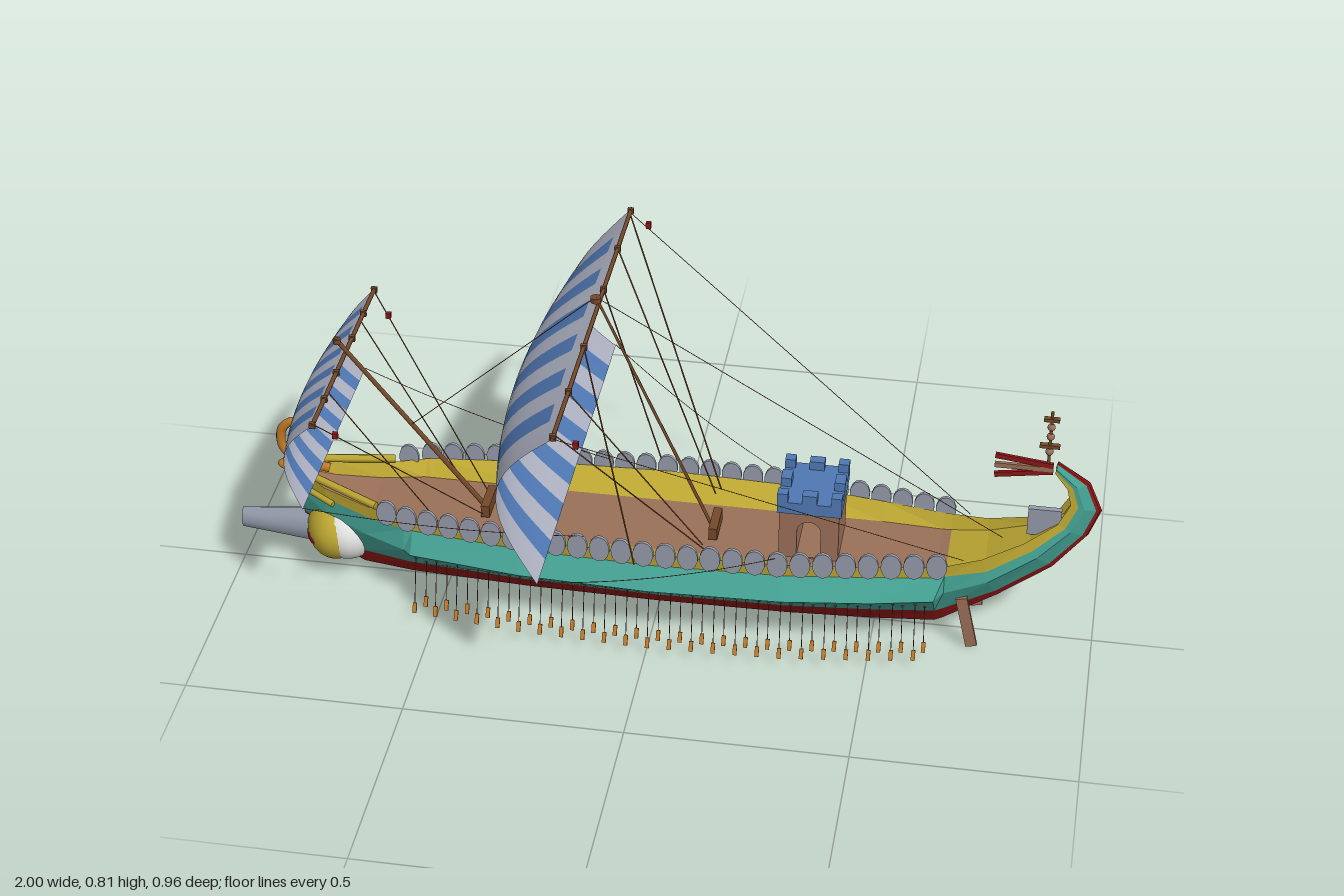
import * as THREE from 'three';

const mat = (name, color, side = THREE.FrontSide) => {
  const m = new THREE.MeshStandardMaterial({ color, side });
  m.name = name;
  return m;
};
const V = (x, y, z) => new THREE.Vector3(x, y, z);

export function createModel() {
  const D = THREE.DoubleSide;
  const red = mat('keelRed', 0x8c1616, D), teal = mat('hullTeal', 0x45a294, D);
  const yellow = mat('railYellow', 0xbca632, D), deckBrown = mat('deckBrown', 0x9a7058, D);
  const wood = mat('darkWood', 0x74492a), gray = mat('shieldGray', 0x959baa);
  const cloth = mat('sailGray', 0xaeb2c2, D), blue = mat('stripeBlue', 0x5078b4, D);
  const white = mat('white', 0xf2f2f0), orange = mat('bladeOrange', 0xc07a28);

  const model = new THREE.Group();
  model.name = 'galley';
  const ship = new THREE.Group(), rig = new THREE.Group();
  ship.name = 'hull';
  rig.name = 'rigging';
  ship.position.z = -0.012;
  model.add(ship, rig);

  const add = (parent, name, geo, m, x = 0, y = 0, z = 0) => {
    const mesh = new THREE.Mesh(geo, m);
    mesh.name = name;
    mesh.position.set(x, y, z);
    parent.add(mesh);
    return mesh;
  };
  const box = (parent, name, m, w, h, d, x, y, z) => add(parent, name, new THREE.BoxGeometry(w, h, d), m, x, y, z);
  const rod = (parent, name, m, a, b, r, r2 = r, sides = 6) => {
    const dir = b.clone().sub(a);
    const mesh = add(parent, name, new THREE.CylinderGeometry(r2, r, dir.length(), sides), m);
    mesh.position.copy(a).addScaledVector(dir, 0.5);
    mesh.quaternion.setFromUnitVectors(V(0, 1, 0), dir.normalize());
    return mesh;
  };
  // flat-faced skin through rows of points
  const skin = (name, m, rows) => {
    const p = [];
    for (let i = 0; i < rows.length - 1; i++) for (let j = 0; j < rows[i].length - 1; j++) {
      const a = rows[i][j], b = rows[i + 1][j], c = rows[i + 1][j + 1], d = rows[i][j + 1];
      for (const q of [a, b, c, a, c, d]) p.push(q.x, q.y, q.z);
    }
    const g = new THREE.BufferGeometry();
    g.setAttribute('position', new THREE.Float32BufferAttribute(p, 3));
    g.computeVertexNormals();
    return add(ship, name, g, m);
  };

  // hull stations: keel x, keel y, rail x, rail y, half width, outrigger overhang
  const stations = [
    [-0.84, 0.10, -0.86, 0.28, 0.018, 0], [-0.78, 0.06, -0.78, 0.25, 0.055, 0],
    [-0.70, 0.03, -0.67, 0.235, 0.09, 0], [-0.58, 0.026, -0.58, 0.235, 0.122, 0.012],
    [-0.56, 0.026, -0.56, 0.235, 0.125, 0.028], [-0.3, 0.026, -0.3, 0.235, 0.155, 0.032],
    [0, 0.026, 0, 0.235, 0.166, 0.032], [0.3, 0.026, 0.3, 0.235, 0.155, 0.032],
    [0.5, 0.026, 0.5, 0.235, 0.128, 0.032], [0.64, 0.03, 0.64, 0.235, 0.106, 0.026],
    [0.66, 0.04, 0.66, 0.237, 0.102, 0], [0.78, 0.11, 0.74, 0.25, 0.08, 0],
    [0.90, 0.20, 0.83, 0.285, 0.052, 0], [0.97, 0.29, 0.90, 0.33, 0.03, 0],
    [0.995, 0.36, 0.925, 0.38, 0.022, 0], [0.965, 0.43, 0.915, 0.42, 0.018, 0],
    [0.89, 0.48, 0.885, 0.455, 0.012, 0],
  ];
  const section = ([kx, ky, sx, sy, w, b]) => {
    const pt = (z, t) => V(kx + (sx - kx) * t, ky + (sy - ky) * t, z);
    // the red narrows to a strip and the yellow deepens towards the stern
    const stern = THREE.MathUtils.clamp((kx - 0.66) / 0.12, 0, 1);
    return [pt(0, 0), pt((0.45 - 0.1 * stern) * w, 0.06), pt((0.68 - 0.2 * stern) * w, 0.28 - 0.1 * stern),
      pt(w + b, 0.62 - 0.06 * stern), pt(w * 0.98, 0.85 - 0.1 * stern), pt(w, 1), pt(Math.min(0.095, w * 0.82), 0.84)];
  };
  const half = stations.map(section);
  const flip = rows => rows.map(r => r.map(p => V(p.x, p.y, -p.z)));
  const bands = [['bottom', red, 0, 3], ['side', teal, 2, 5], ['bulwark', yellow, 4, 7]];
  for (const [name, m, i, j] of bands) {
    const rows = half.map(r => r.slice(i, j));
    skin(name + 'Left', m, rows);
    skin(name + 'Right', m, flip(rows));
  }
  const across = half.map(r => [r[6], V(r[6].x, r[6].y, -r[6].z)]);
  skin('deck', deckBrown, across.slice(0, 11));
  skin('sternDeck', yellow, across.slice(10));
  const widthAt = x => {
    const i = Math.max(1, stations.findIndex(s => s[2] > x));
    const a = stations[i - 1], b = stations[i];
    return a[4] + (b[4] - a[4]) * (x - a[2]) / (b[2] - a[2]);
  };

  // shields, oars and steering oars on both sides
  const disc = new THREE.CylinderGeometry(0.0235, 0.0235, 0.008, 14).rotateX(Math.PI / 2).scale(1, 1.42, 1);
  const port = new THREE.SphereGeometry(0.004, 6, 4);
  for (const s of [1, -1]) {
    for (let i = 0; i < 26; i++) {
      const x = -0.62 + i * 0.0505;
      add(ship, 'shield', disc, gray, x, 0.242, s * (widthAt(x) + 0.007));
    }
    for (let i = 0; i < 24; i++) for (let k = 0; k < 2; k++) {
      const x = -0.55 + i * 0.05 + k * 0.02, w = widthAt(x);
      const a = V(x, 0.14 - k * 0.02, s * (w + 0.012 - k * 0.02));
      const b = V(x + 0.005, 0.036, s * (w + 0.066 - k * 0.03));
      rod(ship, 'oar', wood, a, b, 0.0009, 0.0009, 4);
      add(ship, 'oarPort', port, wood, a.x, a.y, a.z);
      const blade = box(ship, 'oarBlade', orange, 0.009, 0.024, 0.005, b.x, b.y, b.z);
      blade.rotation.x = -s * 0.45;
    }
    const rudder = box(ship, 'steeringOar', deckBrown, 0.026, 0.135, 0.01, 0.715, 0.07, s * 0.078);
    rudder.rotation.z = 0.22;
  }

  // bow: ram, painted prow and curled stem
  const ram = new THREE.CylinderGeometry(0.027, 0.05, 0.2, 8).rotateZ(Math.PI / 2).scale(1, 1, 0.65);
  add(ship, 'ram', ram, gray, -0.9, 0.105, 0);
  const ball = (name, m, rx, ry, rz, x, y) =>
    add(ship, name, new THREE.SphereGeometry(1, 24, 16).scale(rx, ry, rz), m, x, y, 0);
  ball('prowBand', white, 0.075, 0.083, 0.092, -0.742, 0.118);
  ball('prow', yellow, 0.072, 0.08, 0.096, -0.768, 0.115);
  ball('prowEye', red, 0.038, 0.032, 0.08, -0.802, 0.108);
  ball('stemBase', orange, 0.045, 0.014, 0.024, -0.86, 0.272);
  const curl = new THREE.CatmullRomCurve3([V(-0.78, 0.27, 0), V(-0.85, 0.285, 0), V(-0.89, 0.32, 0),
    V(-0.888, 0.37, 0), V(-0.86, 0.392, 0), V(-0.835, 0.375, 0), V(-0.845, 0.352, 0)]);
  add(ship, 'stemCurl', new THREE.TubeGeometry(curl, 30, 0.011, 8), orange);
  for (const s of [1, -1]) {
    rod(ship, 'bowRail', yellow, V(-0.86, 0.275, s * 0.02), V(-0.65, 0.245, s * 0.096), 0.01);
    rod(ship, 'bowWale', yellow, V(-0.87, 0.235, s * 0.012), V(-0.76, 0.215, s * 0.066), 0.008);
  }

  // deck tower with arched passage and battlements
  const wall = new THREE.Shape();
  wall.moveTo(-0.068, 0).lineTo(0.068, 0).lineTo(0.068, 0.13).lineTo(-0.068, 0.13).closePath();
  const arch = new THREE.Path();
  arch.moveTo(-0.027, 0.005).lineTo(0.027, 0.005).lineTo(0.027, 0.075).absarc(0, 0.075, 0.027, 0, Math.PI, false).closePath();
  wall.holes.push(arch);
  const wallGeo = new THREE.ExtrudeGeometry(wall, { depth: 0.15, bevelEnabled: false, curveSegments: 10 });
  add(ship, 'tower', wallGeo, deckBrown, 0.348, 0.2, -0.075);
  box(ship, 'towerTop', blue, 0.146, 0.03, 0.16, 0.348, 0.34, 0);
  for (let i = -1; i <= 1; i++) for (let k = -1; k <= 1; k++) {
    if (i || k) box(ship, 'merlon', blue, i ? 0.024 : 0.034, 0.024, k ? 0.024 : 0.036, 0.348 + i * 0.061, 0.365, k * 0.068);
  }

  // stern ornament, seat and standard
  box(ship, 'sternSeat', gray, 0.075, 0.07, 0.014, 0.87, 0.315, 0);
  for (const [y, a, m] of [[0.475, -0.12, red], [0.458, 0, deckBrown], [0.442, 0.16, red]]) {
    const plume = box(ship, 'sternPlume', m, 0.13, 0.012, 0.008, 0.815, y, 0);
    plume.rotation.z = a;
  }
  rod(ship, 'standard', wood, V(0.868, 0.45, 0), V(0.868, 0.61, 0), 0.004);
  for (const y of [0.505, 0.545, 0.57]) ball('standardKnob', deckBrown, 0.009, 0.009, 0.009, 0.868, y);
  box(ship, 'standardBar', wood, 0.045, 0.008, 0.012, 0.868, 0.52, 0);
  box(ship, 'standardBar', wood, 0.035, 0.008, 0.012, 0.868, 0.59, 0);

  // billowing striped sail with its yard
  const sail = (name, xt, xb, yt, yb, hw, belly) => {
    const cols = [-1], rows = 18, pos = [], grayI = [], blueI = [], isBlue = [];
    const upTo = (u, b) => {
      const from = cols[cols.length - 1];
      for (let k = 1; k <= 3; k++) { cols.push(from + (u - from) * k / 3); isBlue.push(b); }
    };
    for (let i = 0; i < 6; i++) {
      const c = (i - 2.5) * 0.296;
      upTo(c - 0.072, false);
      upTo(c + 0.072, true);
    }
    upTo(1, false);
    for (let r = 0; r <= rows; r++) for (const u of cols) {
      const v = r / rows, s = Math.sin(Math.PI * v);
      pos.push(xt + (xb - xt) * v - belly * s * (0.72 + 0.28 * (1 - u * u)),
        yt + (yb - yt) * v, u * hw * (1 - 0.1 * s));
    }
    const n = cols.length;
    for (let r = 0; r < rows; r++) for (let c = 0; c < n - 1; c++) {
      const a = r * n + c;
      (isBlue[c] && r > 0 ? blueI : grayI).push(a, a + n, a + 1, a + 1, a + n, a + n + 1);
    }
    const g = new THREE.BufferGeometry();
    g.setAttribute('position', new THREE.Float32BufferAttribute(pos, 3));
    g.setIndex([...grayI, ...blueI]);
    g.addGroup(0, grayI.length, 0);
    g.addGroup(grayI.length, blueI.length, 1);
    g.computeVertexNormals();
    add(rig, name, g, [cloth, blue]);
    rod(rig, name + 'Yard', wood, V(xt, yt, -hw), V(xt, yt, hw), 0.005);
    for (const u of [-0.98, -0.62, -0.25, 0.25, 0.62, 0.98]) box(rig, 'yardBand', wood, 0.014, 0.014, 0.008, xt, yt, u * hw);
  };
  sail('mainSail', -0.15, -0.19, 0.755, 0.372, 0.48, 0.16);
  sail('foreSail', -0.725, -0.76, 0.595, 0.368, 0.29, 0.085);

  // raked masts with steps and caps
  const mainTop = V(-0.145, 0.81, 0), foreTop = V(-0.745, 0.64, 0);
  rod(rig, 'mainMast', wood, V(0.125, 0.2, -0.006), mainTop, 0.004, 0.003);
  rod(rig, 'foreMast', wood, V(-0.405, 0.2, -0.006), foreTop, 0.006, 0.005);
  add(rig, 'mainCap', new THREE.CylinderGeometry(0.012, 0.012, 0.012, 10), wood, -0.145, 0.804, 0);
  add(rig, 'foreCap', new THREE.CylinderGeometry(0.009, 0.009, 0.012, 10), wood, -0.74, 0.632, 0);
  for (const x of [0.125, -0.405]) box(rig, 'mastStep', wood, 0.02, 0.03, 0.085, x, 0.22, -0.01);

  // ropes: stays, braces, lifts and slack sheets
  const rope = (a, b, sag = 0, r = 0.001) => {
    const mid = a.clone().lerp(b, 0.5).add(V(0, -sag, 0));
    add(rig, 'rope', new THREE.TubeGeometry(new THREE.QuadraticBezierCurve3(a, mid, b), sag ? 12 : 1, r, 4), wood);
  };
  rope(mainTop, V(0.78, 0.26, -0.01));
  rope(mainTop, V(-0.58, 0.42, 0));
  for (const s of [1, -1]) {
    rope(V(-0.15, 0.75, s * 0.47), V(0.7, 0.25, s * 0.09 - 0.012));
    box(rig, 'block', red, 0.012, 0.016, 0.01, -0.105, 0.73, s * 0.455);
    for (const [z, x, e] of [[0.46, 0.12, 0.12], [0.3, 0.11, 0.1], [0.12, -0.03, 0.2]])
      rope(V(-0.15, 0.755, s * z), V(x, 0.23, s * e - 0.012), 0, 0.0018);
    rope(V(-0.19, 0.376, s * 0.478), V(0.29, 0.26, s * 0.15), 0.04);
    rope(V(-0.76, 0.37, s * 0.288), V(-0.15, 0.27, s * 0.155), 0.03);
    rope(V(-0.725, 0.595, s * 0.28), V(-0.41, 0.22, s * 0.04), 0, 0.0016);
    rope(V(-0.725, 0.595, s * 0.15), V(-0.5, 0.23, s * 0.1), 0, 0.0016);
    box(rig, 'block', red, 0.012, 0.014, 0.01, -0.685, 0.55, s * 0.25);
  }
  return model;
}
